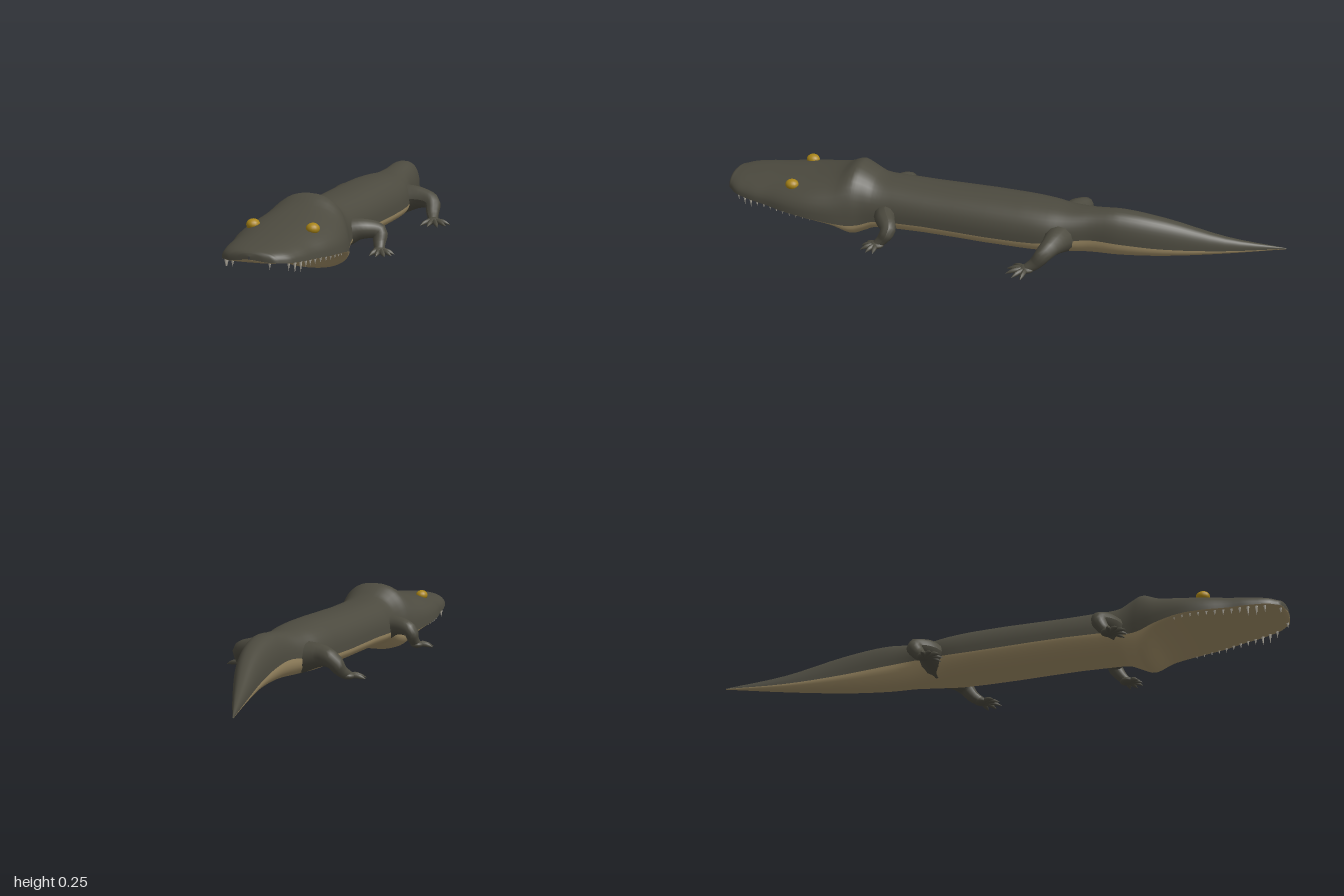
import * as THREE from 'three';

const mat = (name, color) => Object.assign(new THREE.MeshStandardMaterial({ color }), { name });

// Body stations, nose to tail tip: z, centre x, half width, top y, side line y, bottom y
const stations = [
  [1.0, 0, 0.002, 0.138, 0.128, 0.126],
  [0.995, 0, 0.05, 0.148, 0.122, 0.12],
  [0.975, 0, 0.09, 0.155, 0.118, 0.114],
  [0.9, 0, 0.13, 0.167, 0.111, 0.106],
  [0.82, 0, 0.146, 0.177, 0.105, 0.099],
  [0.74, 0, 0.167, 0.188, 0.1, 0.092],
  [0.66, 0, 0.175, 0.2, 0.094, 0.082],
  [0.57, 0, 0.163, 0.222, 0.079, 0.05],
  [0.51, 0, 0.143, 0.25, 0.067, 0.001],
  [0.47, 0, 0.128, 0.235, 0.07, 0.014],
  [0.43, 0, 0.12, 0.213, 0.084, 0.032],
  [0.36, -0.003, 0.118, 0.206, 0.09, 0.036],
  [-0.1, -0.004, 0.118, 0.205, 0.09, 0.036],
  [-0.2, -0.003, 0.11, 0.2, 0.094, 0.036],
  [-0.27, -0.002, 0.09, 0.195, 0.102, 0.037],
  [-0.35, -0.002, 0.068, 0.199, 0.11, 0.04],
  [-0.45, -0.008, 0.063, 0.205, 0.104, 0.041],
  [-0.6, -0.038, 0.051, 0.176, 0.086, 0.043],
  [-0.8, -0.106, 0.026, 0.103, 0.062, 0.044],
  [-1.0, -0.185, 0.001, 0.05, 0.048, 0.046],
];
const spline = new THREE.CubicInterpolant(
  stations.map((s) => -s[0]), stations.flatMap((s) => s.slice(1)), 5);
const sectionAt = (z) => Array.from(spline.evaluate(-z));

// Upper or lower half of the body skin
function halfSkin(upper) {
  const rows = [];
  for (let i = 0; i < stations.length - 1; i++)
    for (let k = 0; k < 4; k++)
      rows.push(THREE.MathUtils.lerp(stations[i][0], stations[i + 1][0], k / 4));
  rows.push(-1);
  const n = 20, pos = [], index = [];
  rows.forEach((z, i) => {
    const [cx, w, top, mid, bottom] = sectionAt(z);
    for (let j = 0; j <= n; j++) {
      const a = (j / n) * Math.PI, c = Math.cos(a), s = Math.max(Math.sin(a), 0);
      const x = Math.sign(c) * Math.pow(Math.abs(c), 0.85) * w;
      if (upper) pos.push(cx + x, mid + (top - mid) * Math.pow(s, 0.85), z);
      else pos.push(cx - x, mid - (mid - bottom) * s, z);
      if (i < rows.length - 1 && j < n) {
        const p = i * (n + 1) + j, q = p + n + 1;
        index.push(p, q, p + 1, q, q + 1, p + 1);
      }
    }
  });
  const g = new THREE.BufferGeometry();
  g.setAttribute('position', new THREE.Float32BufferAttribute(pos, 3));
  g.setIndex(index);
  g.computeVertexNormals();
  return g;
}

// Tube through points whose radius follows a list of values
function taperedTube(points, radii, segments = 16, sides = 12) {
  const curve = new THREE.CatmullRomCurve3(points.map((p) => new THREE.Vector3(...p)));
  const g = new THREE.TubeGeometry(curve, segments, 1, sides);
  const p = g.attributes.position, v = new THREE.Vector3();
  for (let i = 0; i <= segments; i++) {
    const c = curve.getPointAt(i / segments);
    const t = (i / segments) * (radii.length - 1), k = Math.min(Math.floor(t), radii.length - 2);
    const r = THREE.MathUtils.lerp(radii[k], radii[k + 1], t - k);
    for (let j = 0; j <= sides; j++) {
      const id = i * (sides + 1) + j;
      v.fromBufferAttribute(p, id).sub(c).multiplyScalar(r).add(c);
      p.setXYZ(id, v.x, v.y, v.z);
    }
  }
  g.computeVertexNormals();
  return g;
}

export function createModel() {
  const root = new THREE.Group();
  const skin = mat('dark skin', 0x4c4a3f);
  const belly = mat('pale belly', 0xa08d66);
  const toothMat = mat('tooth', 0xb8b3a6);
  const eyeMat = mat('amber eye', 0xa88418);
  const add = (parent, name, geometry, material) => {
    const m = new THREE.Mesh(geometry, material);
    m.name = name;
    parent.add(m);
    return m;
  };

  // Head, trunk and tail: dark upper skin over a pale underside
  add(root, 'back', halfSkin(true), skin);
  add(root, 'belly', halfSkin(false), belly);

  // Eyes
  for (const side of [-1, 1]) {
    const eye = add(root, side > 0 ? 'leftEye' : 'rightEye', new THREE.SphereGeometry(0.022, 16, 12), eyeMat);
    eye.position.set(side * 0.102, 0.18, 0.73);
    eye.scale.set(1, 0.85, 1.1);
  }

  // Teeth along the lip: one front fang per side, then a row shrinking backward
  const teeth = new THREE.Group();
  teeth.name = 'teeth';
  root.add(teeth);
  const addTooth = (side, z, length) => {
    const [, w, , mid] = sectionAt(z);
    const cone = new THREE.ConeGeometry(0.0065, length, 8);
    cone.rotateX(Math.PI);
    add(teeth, 'tooth', cone, toothMat)
      .position.set(side * (w - 0.01), mid + 0.006 - length / 2, z - 0.006);
  };
  for (const side of [-1, 1]) {
    addTooth(side, 0.99, 0.028);
    for (let i = 0; i < 12; i++)
      addTooth(side, 0.945 - i * 0.027, i === 1 || i === 2 ? 0.043 : 0.033 - i * 0.0012);
  }

  // Legs: side, hip z, knee x and z, ankle x and z, toe heading (+ = toward +x), toe length
  const legs = [
    { name: 'leftFrontLeg', side: 1, hip: 0.385, knee: [0.185, 0.34], ankle: [0.2, 0.378], heading: 0.6, toe: 0.06 },
    { name: 'rightFrontLeg', side: -1, hip: 0.42, knee: [0.195, 0.388], ankle: [0.207, 0.425], heading: -0.3, toe: 0.07 },
    { name: 'leftHindLeg', side: 1, hip: -0.25, knee: [0.185, -0.225], ankle: [0.208, -0.17], heading: 0.5, toe: 0.075, hind: true },
    { name: 'rightHindLeg', side: -1, hip: -0.245, knee: [0.19, -0.278], ankle: [0.222, -0.228], heading: -0.35, toe: 0.07, hind: true },
  ];
  for (const { name, side, hip, knee, ankle, heading, toe, hind } of legs) {
    const leg = new THREE.Group();
    leg.name = name;
    root.add(leg);
    const fx = side * ankle[0], fz = ankle[1];
    const joints = [
      [side * (hind ? 0.04 : 0.08), 0.1, hip],
      [side * 0.13, 0.113, THREE.MathUtils.lerp(hip, knee[1], 0.3)],
      [side * knee[0], 0.102, knee[1]],
      [side * (knee[0] + ankle[0]) / 2, 0.066, (knee[1] + fz) / 2],
      [fx, 0.047, fz],
    ];
    const radii = hind ? [0.06, 0.047, 0.034, 0.026, 0.017] : [0.048, 0.036, 0.03, 0.024, 0.016];
    add(leg, 'limb', taperedTube(joints, radii), skin);
    const foot = add(leg, 'foot', new THREE.SphereGeometry(0.024, 14, 10), skin);
    foot.position.set(fx, 0.046, fz);
    foot.scale.set(1, 0.55, 1.1);
    // Five splayed toes
    for (let i = -2; i <= 2; i++) {
      const a = heading + i * 0.5, l = toe * (1 - Math.abs(i) * 0.07);
      const at = (t, y) => [fx + Math.sin(a) * l * t, y, fz + Math.cos(a) * l * t];
      add(leg, 'toe', taperedTube([at(0.1, 0.046), at(0.55, 0.045), at(1, 0.036)], [0.009, 0.009, 0.0075, 0.0006], 8, 8), skin);
    }
  }
  return root;
}
